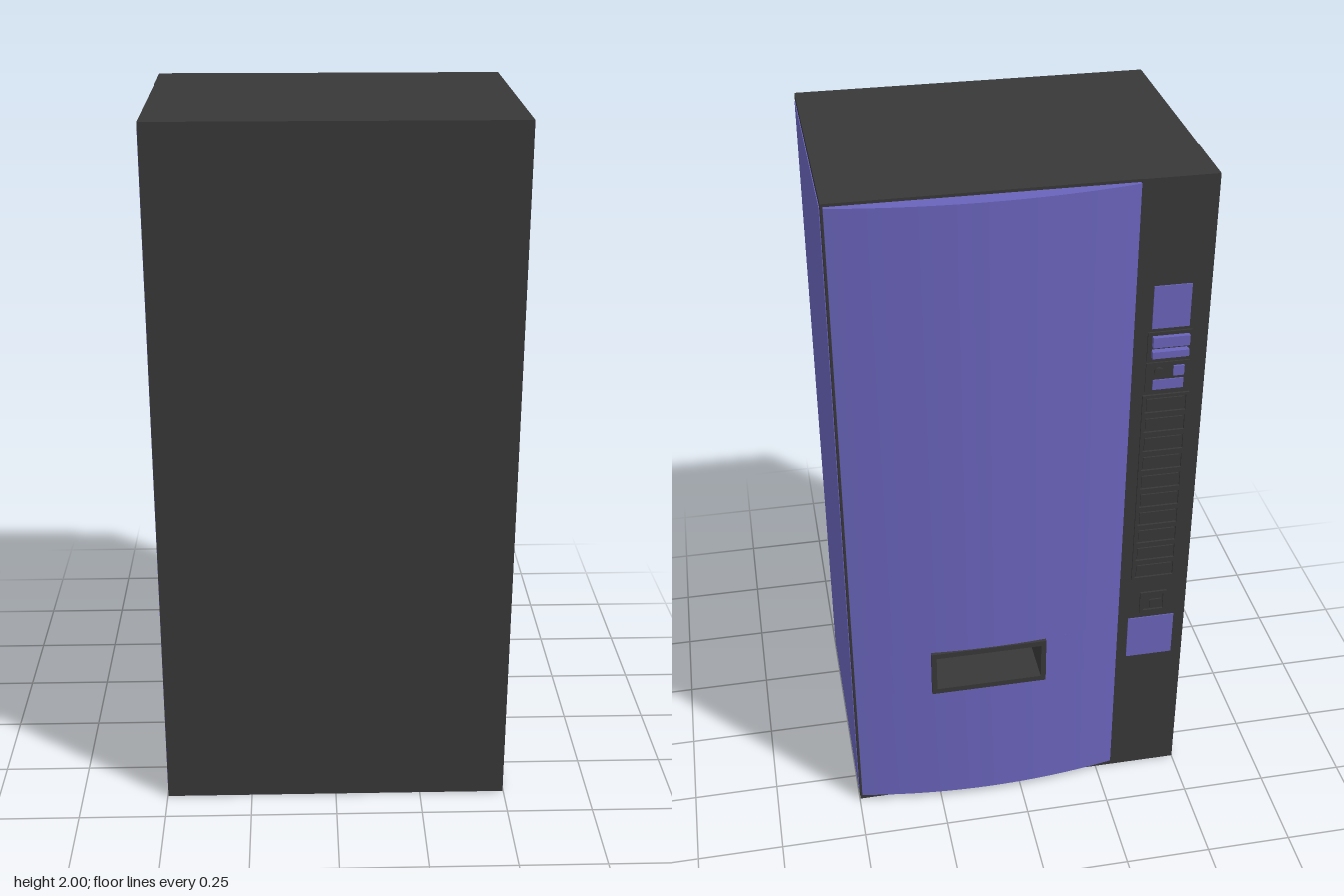
import * as THREE from 'three';
import { toCreasedNormals } from 'three/addons/utils/BufferGeometryUtils.js';

const DARK = new THREE.MeshStandardMaterial({ color: 0x383838 });
const PURPLE = new THREE.MeshStandardMaterial({ color: 0x6a64bc });

// Delivery slot: outer frame and inner opening (x0, x1, y0, y1)
const FRAME = [-0.07, 0.27, 0.44, 0.59];
const OPENING = [-0.055, 0.255, 0.457, 0.573];
const FACE = -0.35; // z of the flat cabinet face behind the door

function rect(Type, [x0, x1, y0, y1]) {
  const r = new Type();
  r.moveTo(x0, y0);
  r.lineTo(x1, y0);
  r.lineTo(x1, y1);
  r.lineTo(x0, y1);
  r.closePath();
  return r;
}

// Flat plate with rectangular holes, spanning z0 to z1
function plate(outer, holes, z0, z1) {
  const shape = rect(THREE.Shape, outer);
  holes.forEach((h) => shape.holes.push(rect(THREE.Path, h)));
  const geo = new THREE.ExtrudeGeometry(shape, { depth: z1 - z0, bevelEnabled: false });
  return geo.translate(0, 0, z0);
}

// Box given by its extents
function block(x0, x1, y0, y1, z0, z1) {
  return new THREE.BoxGeometry(x1 - x0, y1 - y0, z1 - z0)
    .translate((x0 + x1) / 2, (y0 + y1) / 2, (z0 + z1) / 2);
}

// Piece of the bowed door between x0..x1 and y0..y1
function doorPiece(x0, x1, y0, y1) {
  const bow = (x) => 0.396 - 0.036 * ((x - 0.1) / 0.393) ** 2;
  const n = Math.max(4, Math.round((x1 - x0) * 32));
  const shape = new THREE.Shape();
  shape.moveTo(x0, -FACE);
  shape.lineTo(x1, -FACE);
  for (let i = n; i >= 0; i--) {
    const x = x0 + ((x1 - x0) * i) / n;
    shape.lineTo(x, bow(x));
  }
  shape.closePath();
  const geo = new THREE.ExtrudeGeometry(shape, { depth: y1 - y0, bevelEnabled: false });
  geo.rotateX(-Math.PI / 2).translate(0, y0, 0);
  return toCreasedNormals(geo, 0.4);
}

export function createModel() {
  const model = new THREE.Group();
  const add = (name, geo, mat, parent = model) => {
    const mesh = new THREE.Mesh(geo, mat);
    mesh.name = name;
    parent.add(mesh);
    return mesh;
  };
  const group = (name) => {
    const g = new THREE.Group();
    g.name = name;
    model.add(g);
    return g;
  };

  // Cabinet: solid rear, and a front layer pierced by the delivery slot
  add('cabinetRear', block(-0.498, 0.498, 0, 2, -0.23, 0.4), DARK);
  add('cabinetFace', plate([-0.498, 0.498, 0, 2], [OPENING], FACE, -0.23), DARK);

  // Coloured side panels; the control column wraps round one corner
  add('leftSidePanel', block(0.49, 0.5, 0.018, 1.982, -0.328, 0.385), PURPLE);
  add('rightSidePanel', block(-0.5, -0.49, 0.018, 1.982, -0.16, 0.385), PURPLE);
  add('controlColumn', block(-0.5, -0.297, 0.002, 2, -0.352, -0.162), DARK);

  // Bowed door, split around the delivery slot
  const door = group('door');
  const [fx0, fx1, fy0, fy1] = FRAME;
  add('doorLower', doorPiece(-0.295, 0.492, 0.025, fy0), PURPLE, door);
  add('doorUpper', doorPiece(-0.295, 0.492, fy1, 1.992), PURPLE, door);
  add('doorBesideColumn', doorPiece(-0.295, fx0, fy0, fy1), PURPLE, door);
  add('doorOuterSide', doorPiece(fx1, 0.492, fy0, fy1), PURPLE, door);
  add('deliverySlotFrame', plate(FRAME, [OPENING], -0.4, FACE), DARK);

  // Payment area
  const payment = group('paymentControls');
  add('displayPanel', block(-0.447, -0.345, 1.575, 1.7, -0.355, -0.34), PURPLE, payment);
  add('noteSlotFrame', plate([-0.455, -0.335, 1.48, 1.565], [[-0.445, -0.347, 1.49, 1.555]], -0.357, -0.35), DARK, payment);
  add('noteSlotUpperLip', block(-0.447, -0.347, 1.525, 1.555, -0.37, -0.345), PURPLE, payment);
  add('noteSlotLowerLip', block(-0.447, -0.347, 1.492, 1.512, -0.37, -0.345), PURPLE, payment);
  add('coinPlate', block(-0.455, -0.335, 1.385, 1.472, -0.356, -0.345), DARK, payment);
  add('coinSlot', block(-0.44, -0.41, 1.43, 1.46, -0.361, -0.345), PURPLE, payment);
  add('coinButton', new THREE.CylinderGeometry(0.013, 0.013, 0.015, 16)
    .rotateX(Math.PI / 2).translate(-0.37, 1.445, -0.355), DARK, payment);
  add('priceDisplay', block(-0.44, -0.355, 1.39, 1.42, -0.359, -0.345), PURPLE, payment);

  // Column of selection buttons set in a slotted frame
  const buttons = group('selectionButtons');
  const count = 10, pitch = 0.063, firstY = 0.742;
  const slots = [];
  for (let i = 0; i < count; i++) {
    const y = firstY + i * pitch;
    slots.push([-0.452, -0.338, y + 0.008, y + 0.055]);
    add('selectionButton', block(-0.447, -0.343, y + 0.013, y + 0.05, -0.356, -0.345), DARK, buttons);
  }
  add('buttonFrame', plate([-0.46, -0.33, firstY, firstY + count * pitch], slots, -0.358, -0.35), DARK, buttons);

  // Coin return cup and lower panel
  add('coinReturnFrame', plate([-0.44, -0.36, 0.615, 0.69], [[-0.43, -0.37, 0.625, 0.68]], -0.358, -0.35), DARK);
  add('coinReturnFlap', block(-0.425, -0.39, 0.63, 0.66, -0.356, -0.345), DARK);
  add('lowerPanel', block(-0.467, -0.328, 0.45, 0.595, -0.355, -0.34), PURPLE);

  return model;
}
